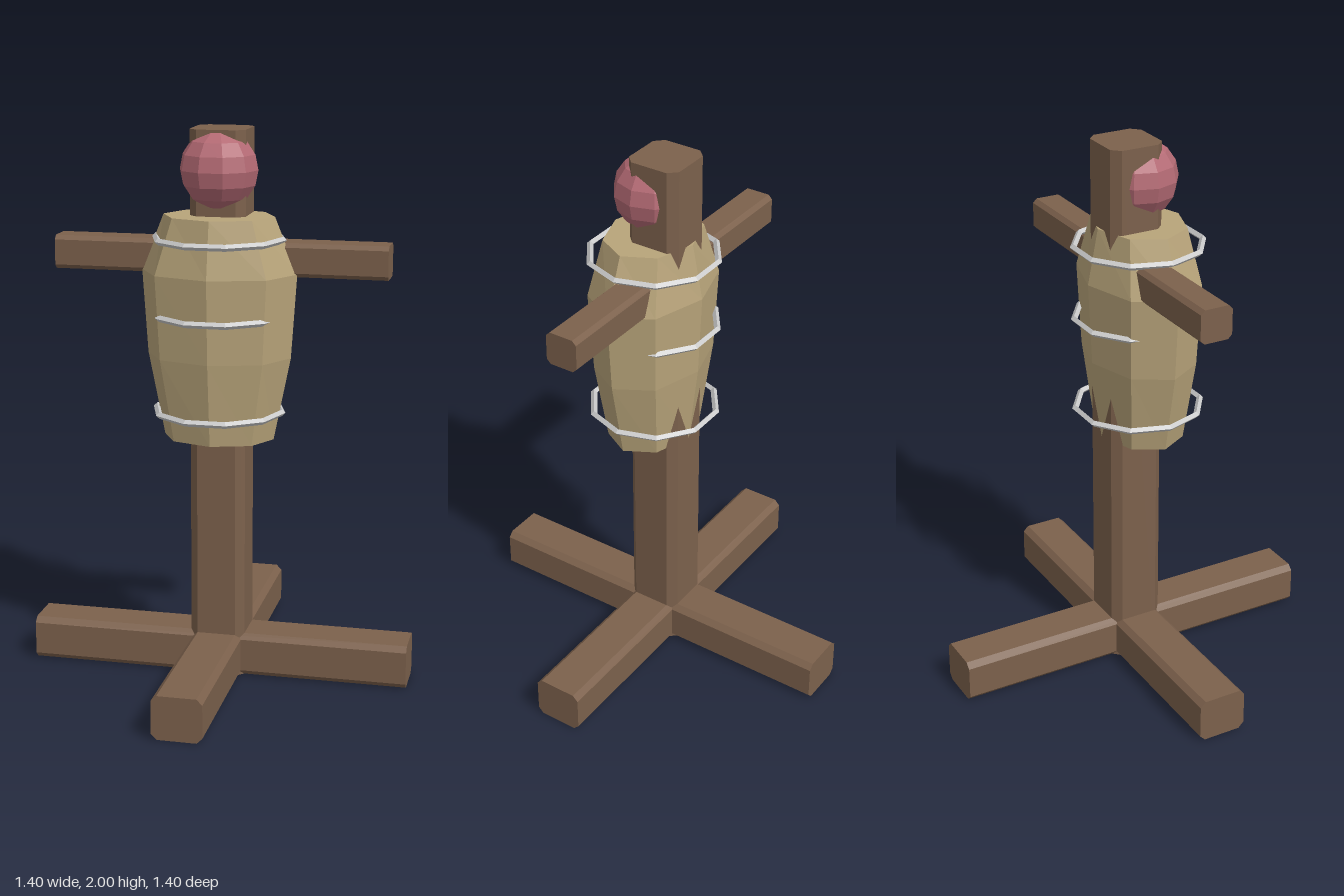
import * as THREE from 'three';

const material = (color) => new THREE.MeshStandardMaterial({ color, flatShading: true });

// Beam along z with chamfered long edges, centred on its own origin
function beamGeometry(width, height, length, chamfer) {
  const w = width / 2, h = height / 2, c = chamfer;
  const outline = [
    [w, h - c], [w - c, h], [c - w, h], [-w, h - c],
    [-w, c - h], [c - w, -h], [w - c, -h], [w, c - h],
  ].map(([x, y]) => new THREE.Vector2(x, y));
  return new THREE.ExtrudeGeometry(new THREE.Shape(outline), { depth: length, bevelEnabled: false })
    .translate(0, 0, -length / 2);
}

// Eight-sided sack body; every level is an ellipse [y, half width, half depth]
function sackGeometry() {
  const levels = [[0.9, 0.2, 0.15], [1.2, 0.26, 0.186], [1.5, 0.28, 0.2], [1.7, 0.2, 0.16]];
  const profile = levels.map(([y, rx]) => new THREE.Vector2(rx, y));
  profile.unshift(new THREE.Vector2(0, 0.9));
  profile.push(new THREE.Vector2(0, 1.7));
  const geometry = new THREE.LatheGeometry(profile, 8);
  const pos = geometry.attributes.position;
  for (let i = 0; i < pos.count; i++) {
    const [, rx, rz] = levels.find(([y]) => Math.abs(y - pos.getY(i)) < 0.01);
    pos.setZ(i, pos.getZ(i) * rz / rx);
  }
  geometry.computeVertexNormals();
  return geometry;
}

export function createModel() {
  const model = new THREE.Group();
  model.name = 'trainingDummy';
  const wood = material(0x7c614c);
  const burlap = material(0xb8a47a);
  const skin = material(0xb46a74);
  const grey = material(0xcccccc);
  const bodyZ = 0.05;

  const add = (name, geometry, mat, x, y, z) => {
    const mesh = new THREE.Mesh(geometry, mat);
    mesh.name = name;
    mesh.position.set(x, y, z);
    model.add(mesh);
    return mesh;
  };

  // Wooden frame
  add('post', beamGeometry(0.2, 0.2, 2, 0.03).rotateX(-Math.PI / 2), wood, 0, 1, 0);
  add('baseBeamLengthwise', beamGeometry(0.18, 0.16, 1.4, 0.02), wood, 0, 0.08, 0);
  add('baseBeamCrosswise', beamGeometry(0.18, 0.16, 1.4, 0.02).rotateY(Math.PI / 2), wood, 0, 0.08, 0);
  add('armBeam', beamGeometry(0.12, 0.12, 1.2, 0.015).rotateY(Math.PI / 2), wood, 0, 1.55, 0);

  // Stuffed body and head, set slightly forward of the post
  add('body', sackGeometry(), burlap, 0, 0, bodyZ);
  add('head', new THREE.SphereGeometry(0.14, 10, 8), skin, 0, 1.86, bodyZ);

  // Binding hoops
  for (const [name, y] of [['lowerHoop', 1], ['middleHoop', 1.35], ['upperHoop', 1.62]]) {
    add(name, new THREE.TorusGeometry(0.23, 0.012, 4, 10).rotateX(Math.PI / 2), grey, 0, y, bodyZ);
  }

  return model;
}
